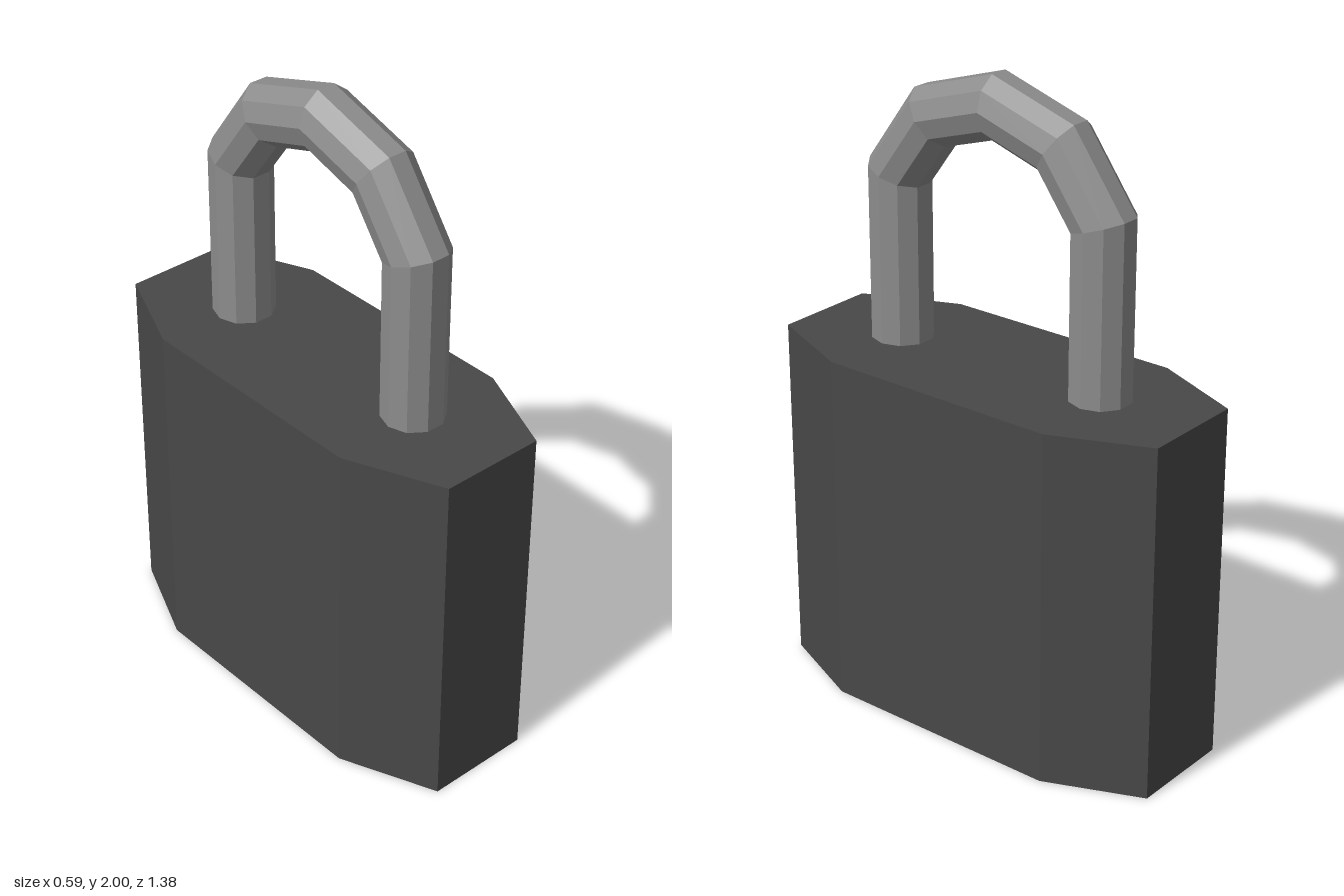
import * as THREE from 'three';

const SIDES = 10;
const RADIUS = 0.0955;

// Ten-sided rod following a path in the y-z plane, mitred at each bend
function mitredRod(path) {
  const positions = [];
  const index = [];
  const last = path.length - 1;
  path.forEach((p, i) => {
    const before = p.clone().sub(path[Math.max(i - 1, 0)]).normalize();
    const after = path[Math.min(i + 1, last)].clone().sub(p).normalize();
    const tangent = before.clone().add(after).normalize();
    const dir = i === last ? before : after;
    const stretch = 1 / tangent.dot(dir);
    const normal = new THREE.Vector3(0, -tangent.z, tangent.y);
    for (let j = 0; j < SIDES; j++) {
      const a = (j / SIDES) * Math.PI * 2;
      const v = normal.clone().multiplyScalar(Math.sin(a) * RADIUS * stretch).add(p);
      positions.push(v.x + Math.cos(a) * RADIUS, v.y, v.z);
      if (i < last) {
        const k = (j + 1) % SIDES;
        const r = i * SIDES;
        const n = r + SIDES;
        index.push(r + j, n + j, r + k, r + k, n + j, n + k);
      }
    }
  });
  const geometry = new THREE.BufferGeometry();
  geometry.setAttribute('position', new THREE.Float32BufferAttribute(positions, 3));
  geometry.setIndex(index);
  geometry.computeVertexNormals();
  return geometry;
}

export function createModel() {
  const group = new THREE.Group();
  group.name = 'padlock';

  // Body: long octagon with chamfered ends, extruded upward
  const outline = [
    [0.293, -0.393], [0.293, 0.393], [0.167, 0.69], [-0.167, 0.69],
    [-0.293, 0.393], [-0.293, -0.393], [-0.167, -0.69], [0.167, -0.69],
  ].map(([x, z]) => new THREE.Vector2(x, z));
  const bodyGeometry = new THREE.ExtrudeGeometry(new THREE.Shape(outline), {
    depth: 1.12,
    bevelEnabled: false,
  });
  bodyGeometry.rotateX(-Math.PI / 2);
  const body = new THREE.Mesh(
    bodyGeometry,
    new THREE.MeshStandardMaterial({ color: 0x484848, flatShading: true })
  );
  body.name = 'body';
  group.add(body);

  // Shackle: front half of the arch, mirrored to the back
  const half = [[1.08, 0.371], [1.64, 0.371], [1.833, 0.23]];
  const path = [
    ...half.map(([y, z]) => new THREE.Vector3(0, y, z)),
    new THREE.Vector3(0, 1.905, 0),
    ...half.slice().reverse().map(([y, z]) => new THREE.Vector3(0, y, -z)),
  ];
  const shackle = new THREE.Mesh(
    mitredRod(path),
    new THREE.MeshStandardMaterial({ color: 0x8c8c8c, flatShading: true, side: THREE.DoubleSide })
  );
  shackle.name = 'shackle';
  group.add(shackle);

  return group;
}
